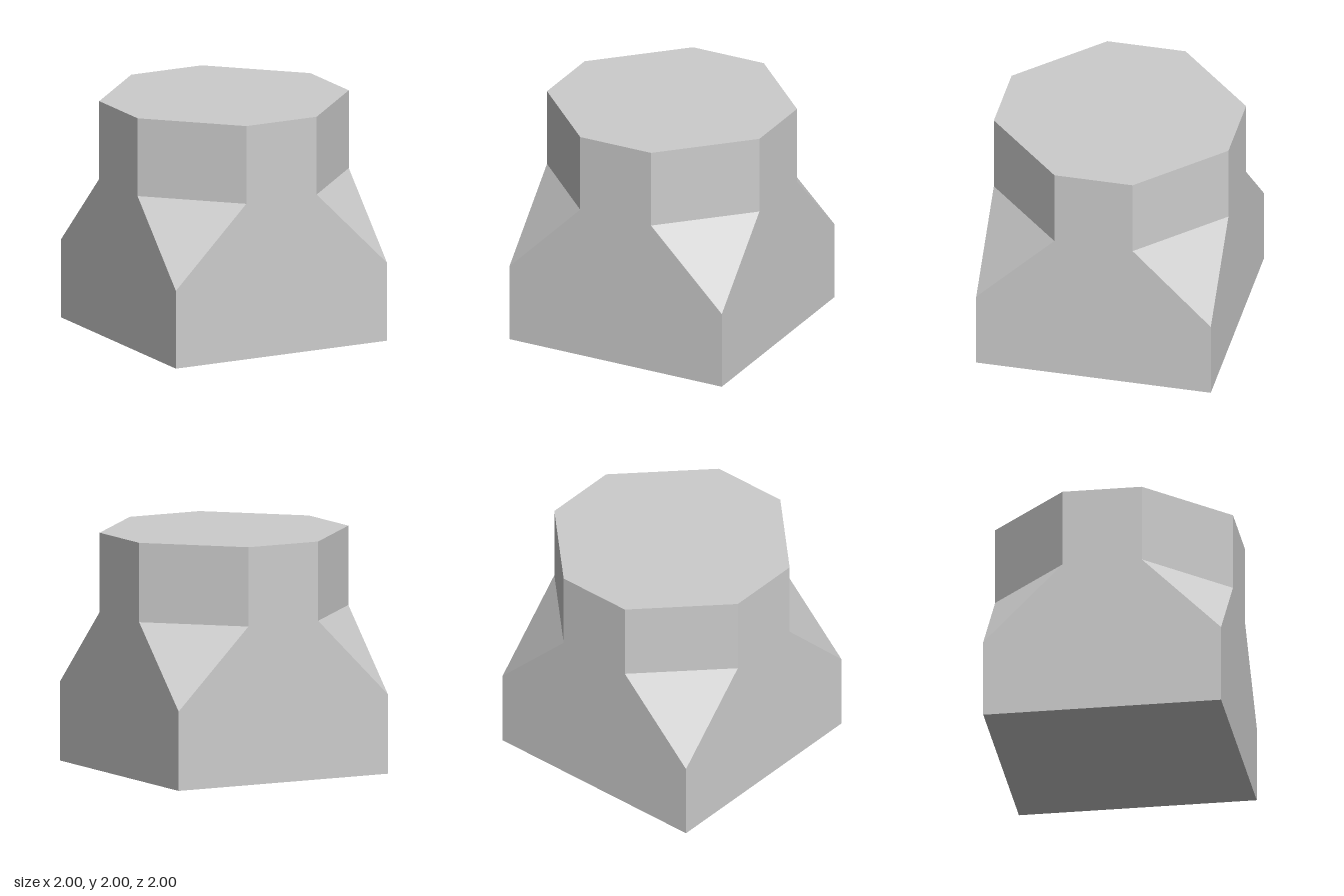
import * as THREE from 'three';
import { mergeGeometries } from 'three/addons/utils/BufferGeometryUtils.js';

const T = 1 / 3; // half width of the octagon's short-cut sides
const LOW = 2 / 3; // height where the corner slopes begin
const MID = 4 / 3; // height where the octagonal neck begins
const TOP = 2;

const flat = (points) => new THREE.ShapeGeometry(new THREE.Shape(points.map(([x, y]) => new THREE.Vector2(x, y))));

export function createModel() {
  const group = new THREE.Group();
  group.name = 'notchedBlock';
  const grey = new THREE.MeshStandardMaterial({ color: 0xcccccc });
  grey.name = 'light grey';
  const parts = [];

  for (let i = 0; i < 4; i++) {
    // Side wall: wide foot, sloped shoulders, narrow neck
    const wall = flat([[-1, 0], [1, 0], [1, LOW], [T, MID], [T, TOP], [-T, TOP], [-T, MID], [-1, LOW]]);
    wall.translate(0, 0, 1);

    // Upright face cutting the corner of the neck
    const neck = new THREE.PlaneGeometry((1 - T) * Math.SQRT2, TOP - MID);
    neck.rotateY(Math.PI / 4).translate((1 + T) / 2, (MID + TOP) / 2, (1 + T) / 2);

    // Triangular slope below the neck
    const slope = new THREE.BufferGeometry();
    slope.setAttribute('position', new THREE.Float32BufferAttribute([1, LOW, 1, 1, MID, T, T, MID, 1], 3));
    slope.computeVertexNormals();

    for (const part of [wall, neck, slope]) parts.push(part.rotateY(i * Math.PI / 2));
  }

  // Octagonal top and square base
  const cap = flat([[-T, -1], [T, -1], [1, -T], [1, T], [T, 1], [-T, 1], [-1, T], [-1, -T]]);
  parts.push(cap.rotateX(-Math.PI / 2).translate(0, TOP, 0));
  parts.push(new THREE.PlaneGeometry(2, 2).rotateX(Math.PI / 2));

  const geometry = mergeGeometries(parts.map((part) => {
    part.deleteAttribute('uv');
    return part.index ? part.toNonIndexed() : part;
  }));
  const body = new THREE.Mesh(geometry, grey);
  body.name = 'body';
  group.add(body);
  return group;
}
